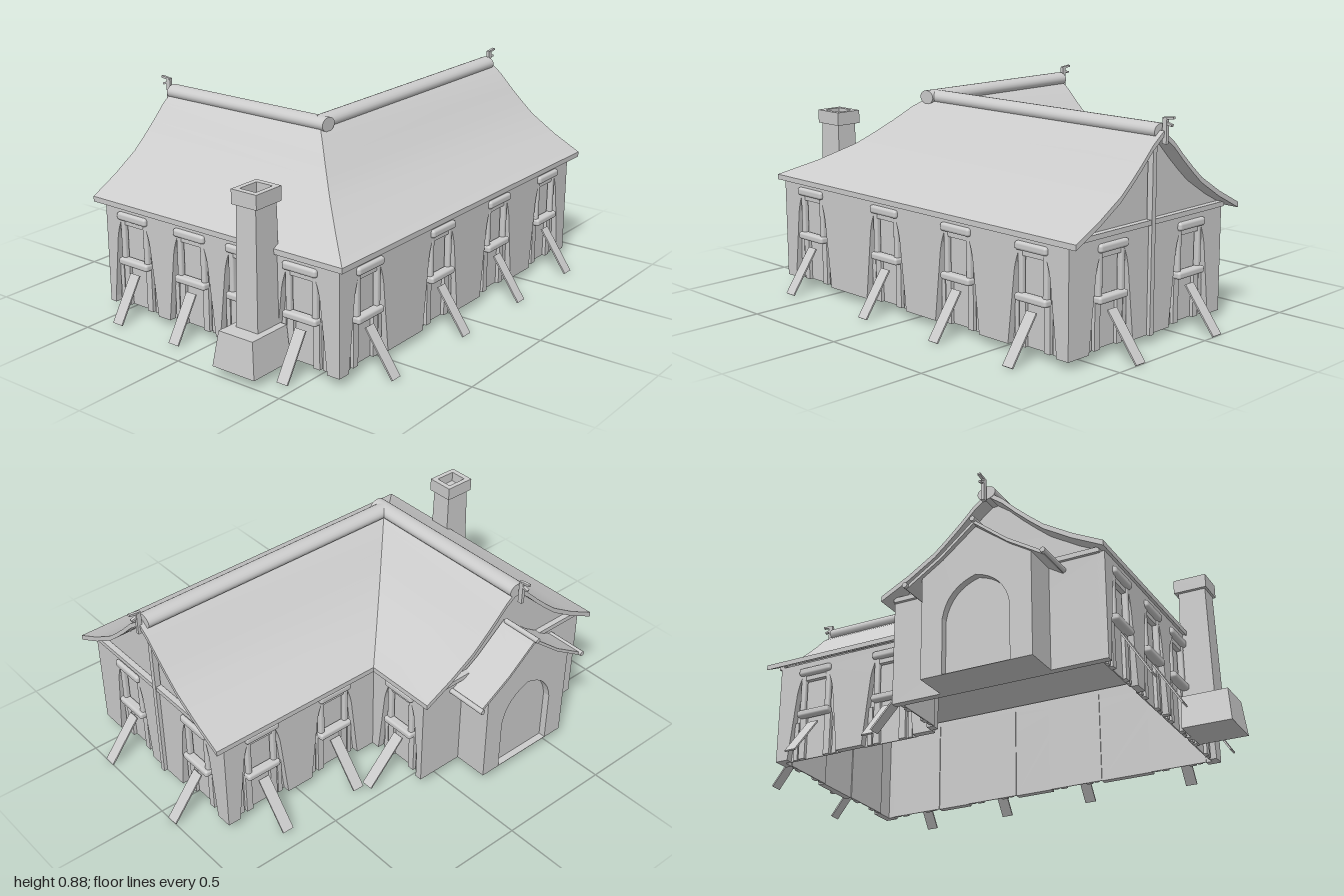
import * as THREE from 'three';
import { toCreasedNormals } from 'three/addons/utils/BufferGeometryUtils.js';
import { RoundedBoxGeometry } from 'three/addons/geometries/RoundedBoxGeometry.js';

const mat = new THREE.MeshStandardMaterial({ color: 0xcccccc, side: THREE.DoubleSide });
const CX = 0.17, CZ = 0.343;          // ridge lines of the two wings
const BASE = 0.03, WALL_TOP = 0.465;
// half roof profile: distance from the ridge, height
const SLOPE = [[0, 0.82], [0.06, 0.775], [0.12, 0.715], [0.18, 0.66], [0.235, 0.613], [0.35, 0.542], [0.475, 0.478]];
const PORCH_SLOPE = [[0, 0.635], [0.14, 0.52], [0.29, 0.425]];

function add(parent, name, geo, x = 0, y = 0, z = 0) {
  const m = new THREE.Mesh(geo, mat);
  m.name = name;
  m.position.set(x, y, z);
  parent.add(m);
  return m;
}
const box = (w, h, d) => new THREE.BoxGeometry(w, h, d);
const bar = (w, h, d) => new RoundedBoxGeometry(w, h, d, 2, Math.min(w, h, d) * 0.35);
const extrude = (shape, depth) => new THREE.ExtrudeGeometry(shape, { depth, bevelEnabled: false, curveSegments: 8 });
const mirrored = half => [...half.slice(1).reverse().map(([d, y]) => [-d, y]), ...half];

// Sweeps a gabled roof section of the given thickness along a path that depends on the offset d
function roofGeometry(half, thick, path) {
  const top = mirrored(half), n = top.length;
  const section = [...top, ...top.map(([d, y]) => [d, y - thick]).reverse()];
  const count = section.length, pos = [];
  const point = (i, j) => {
    const [d, y] = section[j % count], [x, z] = path(d)[i];
    return [x, y, z];
  };
  const quad = (a, b, c, d) => pos.push(...a, ...b, ...c, ...a, ...c, ...d);
  const last = path(0).length - 1;
  for (let i = 0; i < last; i++)
    for (let j = 0; j < count; j++)
      quad(point(i, j), point(i, j + 1), point(i + 1, j + 1), point(i + 1, j));
  for (let j = 0; j < n - 1; j++) {
    const k = count - 1 - j;
    quad(point(0, j), point(0, k), point(0, k - 1), point(0, j + 1));
    quad(point(last, j), point(last, j + 1), point(last, k - 1), point(last, k));
  }
  const geo = new THREE.BufferGeometry();
  geo.setAttribute('position', new THREE.Float32BufferAttribute(pos, 3));
  return toCreasedNormals(geo, 0.5);
}

// Timber window standing in a flared wall opening, centred at u
function addWindow(wall, u, strutOut) {
  const g = new THREE.Group();
  g.name = 'window';
  g.position.x = u;
  wall.add(g);
  add(g, 'recessPanel', box(0.25, 0.41, 0.005), 0, 0.235, -0.032);
  add(g, 'lintel', bar(0.16, 0.034, 0.04), 0, 0.42, -0.005);
  add(g, 'sill', bar(0.16, 0.03, 0.04), 0, 0.226, -0.005);
  for (const s of [-1, 1]) {
    add(g, 'windowPost', bar(0.024, 0.18, 0.025), s * 0.062, 0.32, -0.012);
    add(g, 'lowerBoard', box(0.03, 0.19, 0.015), s * 0.062, 0.125, -0.022);
    add(g, 'outerBoard', box(0.02, 0.17, 0.01), s * 0.097, 0.115, -0.026);
  }
  add(g, 'windowHead', box(0.11, 0.02, 0.02), 0, 0.392, -0.014);
  if (strutOut) {
    const h = 0.18, strut = add(g, 'strut', box(0.05, Math.hypot(h, strutOut), 0.007), 0, h / 2, strutOut / 2);
    strut.rotation.x = -Math.atan2(strutOut, h);
  }
}

// Wall in its own plane: local x runs along it, local z faces out
function addWall(parent, name, u0, u1, x, z, turn, openings = [], strutOut = 0, noStrut = -1) {
  const g = new THREE.Group();
  g.name = name;
  g.position.set(x, 0, z);
  g.rotation.y = turn;
  parent.add(g);
  const s = new THREE.Shape();
  s.moveTo(u0, BASE);
  for (const c of openings) {
    s.lineTo(c - 0.123, BASE);
    s.lineTo(c - 0.09, 0.32);
    s.quadraticCurveTo(c - 0.08, 0.38, c - 0.055, 0.42);
    s.lineTo(c + 0.055, 0.42);
    s.quadraticCurveTo(c + 0.08, 0.38, c + 0.09, 0.32);
    s.lineTo(c + 0.123, BASE);
  }
  s.lineTo(u1, BASE);
  s.lineTo(u1, WALL_TOP);
  s.lineTo(u0, WALL_TOP);
  add(g, 'plaster', extrude(s, 0.03), 0, 0, -0.03);
  openings.forEach((c, i) => addWindow(g, c, i === noStrut ? 0 : strutOut));
  return g;
}

// Gable infill with a tie beam and optional king post, in the plane of a wall
function addGable(wall, u, post) {
  const s = new THREE.Shape(mirrored([...SLOPE.slice(0, -1), [0.45, 0.49]]).map(([d, y]) => new THREE.Vector2(u + d, y - 0.018)));
  add(wall, 'gable', extrude(s, 0.01), 0, 0, -0.025);
  add(wall, 'tieBeam', box(0.88, 0.02, 0.025), u, 0.47, 0);
  if (post) add(wall, 'kingPost', box(0.022, 0.74, 0.025), u, 0.4, 0.003);
}

// Carved post at a ridge end, pointing along local -x
function addFinial(parent, x, z, turn) {
  const g = new THREE.Group();
  g.name = 'ridgeFinial';
  g.position.set(x, 0, z);
  g.rotation.y = turn;
  parent.add(g);
  add(g, 'finialPost', box(0.02, 0.095, 0.014), 0, 0.818, 0);
  add(g, 'finialHorn', box(0.05, 0.009, 0.012), -0.015, 0.868, 0).rotation.z = -0.12;
  add(g, 'finialBeak', box(0.024, 0.009, 0.012), -0.02, 0.845, 0).rotation.z = 0.3;
}

// Square tapered block from y0 to y1; each rectangle is [x0, x1, z0, z1]
function taperedBlock(y0, y1, low, high) {
  const geo = box(1, 1, 1), p = geo.attributes.position;
  for (let i = 0; i < p.count; i++) {
    const r = p.getY(i) > 0 ? high : low;
    p.setXYZ(i, p.getX(i) > 0 ? r[1] : r[0], p.getY(i) > 0 ? y1 : y0, p.getZ(i) > 0 ? r[3] : r[2]);
  }
  geo.computeVertexNormals();
  return geo;
}

function addChimney(parent) {
  const g = new THREE.Group();
  g.name = 'chimney';
  parent.add(g);
  add(g, 'chimneyBase', taperedBlock(BASE, 0.175, [0.178, 0.382, 0.79, 1.0], [0.2, 0.365, 0.79, 0.985]));
  add(g, 'chimneyShaft', taperedBlock(0.175, 0.67, [0.228, 0.335, 0.785, 0.92], [0.235, 0.328, 0.795, 0.91]));
  const rect = (C, w, d) => new C([[-w, -d], [w, -d], [w, d], [-w, d]].map(p => new THREE.Vector2(...p)));
  const cap = rect(THREE.Shape, 0.06, 0.07);
  cap.holes.push(rect(THREE.Path, 0.038, 0.046));
  add(g, 'chimneyCap', extrude(cap, 0.058), 0.28, 0.656, 0.85).rotation.x = -Math.PI / 2;
}

// Gabled porch on the side wing, with an arched doorway
function addPorch(parent) {
  const g = new THREE.Group();
  g.name = 'porch';
  parent.add(g);
  const outline = () => new THREE.Shape([[-0.23, BASE], [0.23, BASE], [0.23, 0.45], [0.14, 0.505], [0, 0.615], [-0.14, 0.505], [-0.23, 0.45]]
    .map(p => new THREE.Vector2(...p)));
  const face = outline(), arch = new THREE.Path();
  arch.moveTo(-0.14, BASE + 0.002);
  arch.lineTo(-0.14, 0.26);
  arch.quadraticCurveTo(-0.12, 0.38, 0, 0.41);
  arch.quadraticCurveTo(0.12, 0.38, 0.14, 0.26);
  arch.lineTo(0.14, BASE + 0.002);
  face.holes.push(arch);
  const side = -Math.PI / 2;
  add(g, 'porchFront', extrude(face, 0.03), -0.69, 0, CZ).rotation.y = side;
  add(g, 'porchBody', extrude(outline(), 0.12), -0.57, 0, CZ).rotation.y = side;
  add(g, 'porchRoof', roofGeometry(PORCH_SLOPE, 0.015, d => [[-0.737, CZ + d], [-0.56, CZ + d]]));
  for (const [d, y] of [[-0.29, 0.424], [0, 0.635], [0.29, 0.424]])
    add(g, 'porchPole', new THREE.CylinderGeometry(0.011, 0.011, 0.18, 10), -0.66, y, CZ + d).rotation.z = Math.PI / 2;
}

export function createModel() {
  const house = new THREE.Group();
  house.name = 'house';

  // walls of the L-shaped plan
  const q = Math.PI / 2;
  addWall(house, 'frontWall', -0.57, 0.62, 0, 0.8, 0, [-0.42, -0.11, 0.16, 0.44], 0.11, 2);
  addWall(house, 'leftWall', -0.8, 0.86, 0.62, 0, q, [-0.62, -0.14, 0.28, 0.68], 0.125);
  const back = addWall(house, 'backWall', -0.62, 0.27, 0, -0.86, Math.PI, [-0.385, 0.075], 0.14);
  addWall(house, 'courtWall', -0.86, -0.1, -0.27, 0, -q, [-0.68, -0.31], 0.15);
  addWall(house, 'wingBackWall', 0.27, 0.57, 0, -0.1, Math.PI, [0.43], 0.17);
  const wingEnd = addWall(house, 'wingEndWall', -0.1, 0.8, -0.57, 0, -q);
  addGable(back, -CX, true);
  addGable(wingEnd, CZ, false);

  // roof swept around the corner, giving the hip and the valley
  add(house, 'roof', roofGeometry(SLOPE, 0.022, d => [[-0.622, CZ + d], [CX + d, CZ + d], [CX + d, -0.915]]));

  // flattened ridge rolls
  const roll = len => new THREE.CylinderGeometry(0.039, 0.039, len, 20);
  const wingRidge = add(house, 'wingRidge', roll(0.833), -0.2065, 0.817, 0.337);
  wingRidge.rotation.z = q;
  wingRidge.scale.x = 0.74;
  const mainRidge = add(house, 'mainRidge', roll(1.24), 0.163, 0.817, -0.275);
  mainRidge.rotation.x = q;
  mainRidge.scale.z = 0.74;
  addFinial(house, -0.645, 0.337, 0);
  addFinial(house, 0.163, -0.915, -q);

  addChimney(house);
  addPorch(house);
  return house;
}
